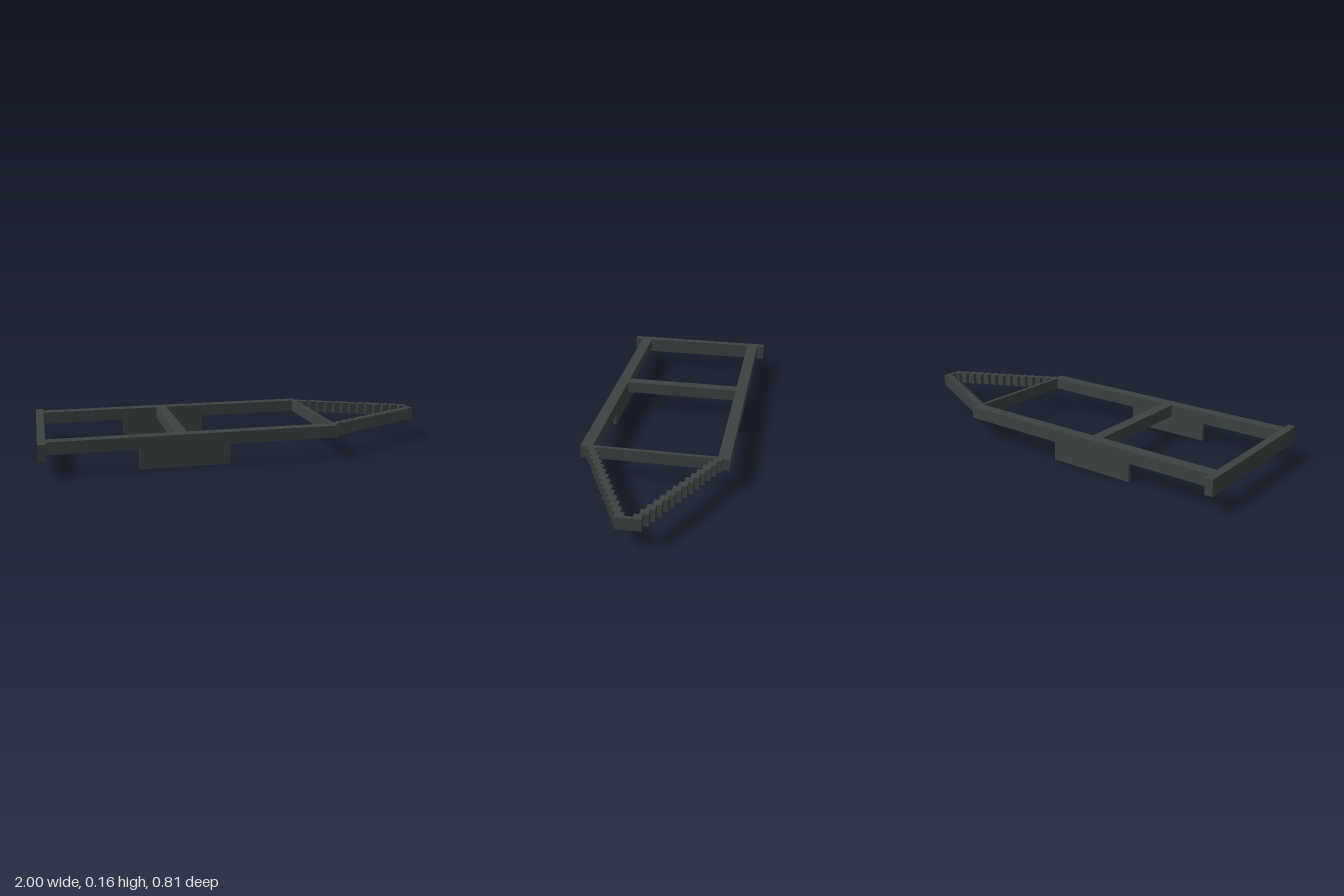
import * as THREE from 'three';

export function createModel() {
  const model = new THREE.Group();
  model.name = 'trailerFrame';
  const steel = new THREE.MeshStandardMaterial({ color: 0x3c4242 });
  steel.name = 'dark steel';

  // Box given by its minimum and maximum on each axis
  function bar(name, [x0, x1], [y0, y1], [z0, z1], parent = model) {
    const mesh = new THREE.Mesh(new THREE.BoxGeometry(x1 - x0, y1 - y0, z1 - z0), steel);
    mesh.position.set((x0 + x1) / 2, (y0 + y1) / 2, (z0 + z1) / 2);
    mesh.name = name;
    parent.add(mesh);
  }

  const deck = [0.103, 0.163];

  // Cross members
  bar('rearBumper', [-1, -0.962], [0.084, 0.163], [-0.404, 0.404]);
  bar('middleCrossbar', [-0.355, -0.3], deck, [-0.303, 0.303]);
  bar('frontCrossbar', [0.43, 0.45], deck, [-0.303, 0.303]);
  bar('nosePlate', [0.982, 1], deck, [-0.02, 0.02]);

  // Long rails, hanging side plates and stepped drawbar on both sides
  for (const side of [1, -1]) {
    const span = (a, b) => (side > 0 ? [a, b] : [-b, -a]);
    const label = side > 0 ? 'front' : 'back';
    bar(label + 'Rail', [-0.962, 0.45], deck, span(0.303, 0.363));
    bar(label + 'SidePlate', [-0.535, -0.095], [0, 0.103], span(0.323, 0.343));

    const drawbar = new THREE.Group();
    drawbar.name = label + 'Drawbar';
    const steps = 14;
    for (let i = 0; i < steps; i++) {
      const x1 = 0.475 + (i * 0.525) / (steps - 1);
      const outer = 0.325 - (i * 0.265) / (steps - 1);
      bar('drawbarStep', [x1 - 0.0404, x1], deck, span(outer - 0.04, outer), drawbar);
    }
    model.add(drawbar);
  }
  return model;
}
